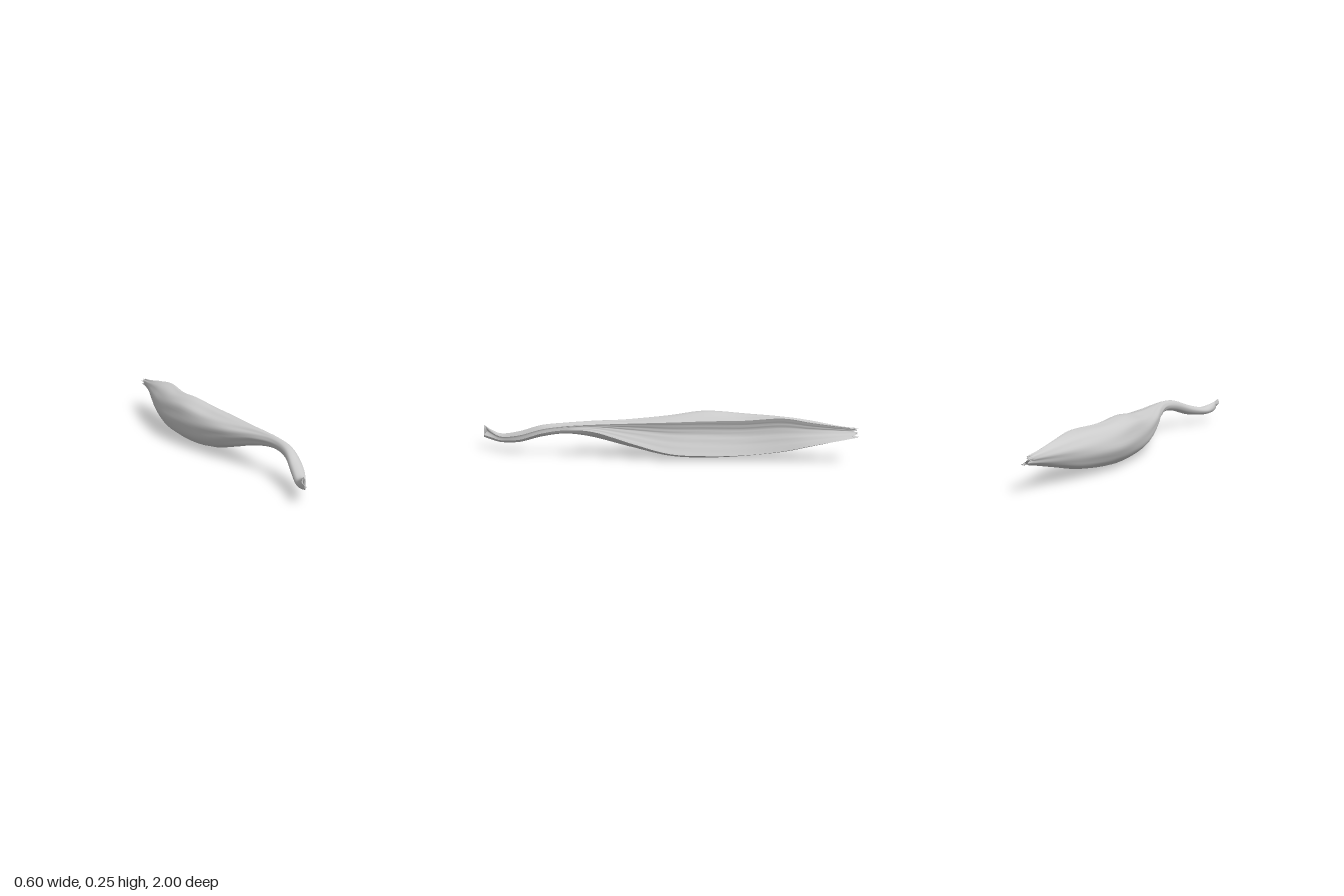
import * as THREE from 'three';

// Stations along the pod, stem end first:
// z, back x, lowest y, highest y, lower lip (x, y), upper lip (x, y)
const STATIONS = [
  [1.0, -0.285, 0.068, 0.135, -0.272, 0.08, -0.30, 0.128],
  [0.96, -0.28, 0.058, 0.114, -0.235, 0.075, -0.248, 0.103],
  [0.9, -0.25, 0.053, 0.10, -0.178, 0.07, -0.18, 0.09],
  [0.8, -0.185, 0.07, 0.128, -0.105, 0.09, -0.105, 0.115],
  [0.68, -0.115, 0.112, 0.175, -0.052, 0.135, -0.052, 0.158],
  [0.55, -0.078, 0.132, 0.192, -0.025, 0.155, -0.025, 0.178],
  [0.4, -0.078, 0.113, 0.20, 0.01, 0.148, 0.0, 0.188],
  [0.2, -0.10, 0.06, 0.206, 0.06, 0.09, 0.035, 0.197],
  [0.0, -0.102, 0.012, 0.224, 0.104, 0.038, 0.07, 0.205],
  [-0.2, -0.086, 0.003, 0.252, 0.135, 0.028, 0.095, 0.212],
  [-0.4, -0.04, 0.018, 0.245, 0.167, 0.035, 0.13, 0.218],
  [-0.6, 0.05, 0.047, 0.243, 0.21, 0.062, 0.183, 0.237],
  [-0.75, 0.135, 0.088, 0.225, 0.255, 0.1, 0.215, 0.216],
  [-0.88, 0.212, 0.125, 0.203, 0.29, 0.13, 0.243, 0.2],
  [-0.98, 0.255, 0.15, 0.192, 0.298, 0.148, 0.268, 0.19],
];
const ROWS = 112;
const { lerp, clamp, smoothstep } = THREE.MathUtils;

// Smooth interpolation of every station value
function stationAt(t) {
  const f = t * (STATIONS.length - 1);
  const i = Math.min(Math.floor(f), STATIONS.length - 2), u = f - i;
  const at = (n) => STATIONS[clamp(n, 0, STATIONS.length - 1)];
  return at(i).map((p1, k) => {
    const p0 = at(i - 1)[k], p2 = at(i + 1)[k], p3 = at(i + 2)[k];
    const m1 = (p2 - p0) / 2, m2 = (p3 - p1) / 2;
    return p1 + m1 * u + (3 * (p2 - p1) - 2 * m1 - m2) * u * u + (m1 + m2 - 2 * (p2 - p1)) * u * u * u;
  });
}

const curveThrough = (pts) =>
  new THREE.CatmullRomCurve3(pts.map(([x, y]) => new THREE.Vector3(x, y, 0)));

// Rounded husk, from the lower lip round the back to the upper lip
function huskCurve([z, back, low, high, lx, ly, ux, uy]) {
  const bx = lerp(back, lx, 0.52);
  const tx = lerp(back, ux, 0.52 + 0.33 * smoothstep(-z, 0.3, 0.6));
  const mid = (low + high) / 2, k = 0.7071;
  return curveThrough([
    [lx, ly],
    [lerp(bx, lx, 0.6), lerp(low, ly, 0.28)],
    [bx, low],
    [lerp(bx, back, k), lerp(mid, low, k)],
    [back, mid],
    [lerp(tx, back, k), lerp(mid, high, k)],
    [tx, high],
    [lerp(tx, ux, 0.6), lerp(high, uy, 0.3)],
    [ux, uy],
  ]);
}

// Shallow grooved face, from the upper lip down to the lower lip
function grooveCurve([, , , , lx, ly, ux, uy]) {
  const h = uy - ly, gx = ux - 0.08 * h;
  return curveThrough([
    [ux, uy],
    [ux - 0.06 * h, uy - 0.18 * h],
    [gx, uy - 0.38 * h],
    [lerp(gx, lx, 0.45), uy - 0.7 * h],
    [lx, ly],
  ]);
}

// Skin over one section curve per row, with lengthwise wrinkles and a ragged tip
function skinGeometry(sectionCurve, across) {
  const pos = [], index = [], ring = across + 1;
  for (let j = 0; j <= ROWS; j++) {
    const t = j / ROWS, s = stationAt(t), curve = sectionCurve(s);
    const body = smoothstep(t, 0.3, 0.5) * (1 - 0.5 * t);
    const fray = smoothstep(t, 0.965, 1);
    for (let i = 0; i <= across; i++) {
      const u = i / across, p = curve.getPoint(u), d = curve.getTangent(u);
      const ripple = body * Math.sin(Math.PI * u) *
        (0.003 * Math.sin(u * 34 + s[0] * 5) + 0.002 * Math.sin(u * 61 - s[0] * 9));
      const z = s[0] + fray * Math.sin(Math.PI * u) * (0.014 * Math.sin(i * 2.3) + 0.008 * Math.sin(i * 0.9 + 1));
      pos.push(p.x - d.y * ripple, p.y + d.x * ripple, z);
      if (i < across && j < ROWS) {
        const a = j * ring + i, b = a + 1;
        index.push(a, b, a + ring, b, b + ring, a + ring);
      }
    }
  }
  const g = new THREE.BufferGeometry();
  g.setAttribute('position', new THREE.Float32BufferAttribute(pos, 3));
  g.setIndex(index);
  g.computeVertexNormals();
  return g;
}

// Hollowed end face: a fan round the end section with a recessed middle
function endGeometry(t, recess) {
  const s = stationAt(t);
  const rim = [...huskCurve(s).getPoints(24), ...grooveCurve(s).getPoints(10)];
  const pos = [lerp(s[1], s[4], 0.5), lerp(s[2], s[3], 0.5), s[0] + recess], index = [];
  rim.forEach((p, i) => {
    pos.push(p.x, p.y, s[0]);
    if (i) index.push(0, i + 1, i);
  });
  const g = new THREE.BufferGeometry();
  g.setAttribute('position', new THREE.Float32BufferAttribute(pos, 3));
  g.setIndex(index);
  g.computeVertexNormals();
  return g;
}

export function createModel() {
  const group = new THREE.Group();
  group.name = 'driedSeedPod';
  const material = new THREE.MeshStandardMaterial({ color: 0xcccccc, side: THREE.DoubleSide });
  const add = (name, geometry) => {
    const mesh = new THREE.Mesh(geometry, material);
    mesh.name = name;
    group.add(mesh);
    return mesh;
  };
  add('huskWithStem', skinGeometry(huskCurve, 44));
  add('groovedFace', skinGeometry(grooveCurve, 18));
  add('stemEnd', endGeometry(0, -0.015));

  // Splinters at the frayed tip
  [[0.262, 0.188, 0.05], [0.287, 0.15, 0.04]].forEach(([x, y, length], i) => {
    const splinter = add('tipSplinter' + (i + 1), new THREE.ConeGeometry(0.006, length, 6));
    splinter.rotation.x = -Math.PI / 2;
    splinter.position.set(x, y, -1 + length / 2);
  });
  return group;
}
